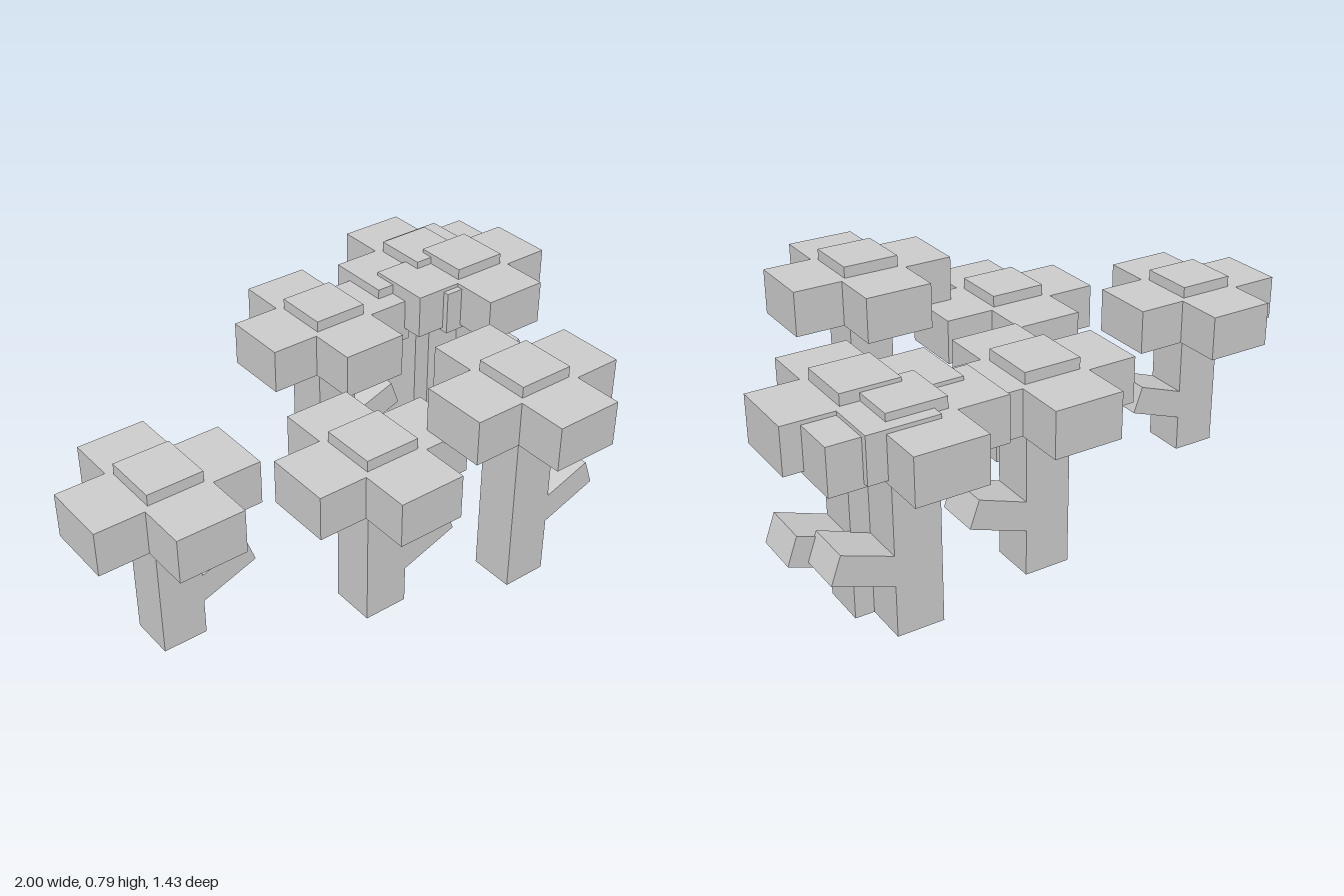
import * as THREE from 'three';

const material = new THREE.MeshStandardMaterial({ color: 0xcccccc, flatShading: true });

function part(name, geometry, x, y, z) {
  const mesh = new THREE.Mesh(geometry, material);
  mesh.name = name;
  mesh.position.set(x, y, z);
  return mesh;
}

// Plus-shaped slab of leaves, lying flat with its underside at y = 0
function crossGeometry(reach, half, height) {
  const r = reach, h = half;
  const outline = [
    [h, r], [-h, r], [-h, h], [-r, h], [-r, -h], [-h, -h],
    [-h, -r], [h, -r], [h, -h], [r, -h], [r, h], [h, h],
  ].map(([x, y]) => new THREE.Vector2(x, y));
  const geometry = new THREE.ExtrudeGeometry(new THREE.Shape(outline), { depth: height, bevelEnabled: false });
  return geometry.rotateX(-Math.PI / 2);
}

const TRUNK = 0.153, LEAF = 0.153, CAP = 0.038;
const BRANCH_LENGTH = 0.25, BRANCH_TILT = THREE.MathUtils.degToRad(20);
const canopyGeometry = crossGeometry(0.2825, 0.115, LEAF);
const capGeometry = new THREE.BoxGeometry(0.192, CAP, 0.192);
const branchGeometry = new THREE.BoxGeometry(BRANCH_LENGTH, 0.096, TRUNK);

function makeTree(trunkHeight) {
  const tree = new THREE.Group();
  tree.name = 'tree';
  tree.add(part('trunk', new THREE.BoxGeometry(TRUNK, trunkHeight, TRUNK), 0, trunkHeight / 2, 0));

  // Side branch, rising from the trunk towards +x; taller trunks carry it higher
  const tipY = 0.243 + 0.43 * (trunkHeight - 0.44);
  const branch = part('branch', branchGeometry,
    0.257 - Math.cos(BRANCH_TILT) * BRANCH_LENGTH / 2,
    tipY - Math.sin(BRANCH_TILT) * BRANCH_LENGTH / 2, 0);
  branch.rotation.z = BRANCH_TILT;
  tree.add(branch);

  // Leaves
  tree.add(part('canopy', canopyGeometry, 0, trunkHeight, 0));
  tree.add(part('canopyCap', capGeometry, 0, trunkHeight + LEAF + CAP / 2, 0));
  return tree;
}

export function createModel() {
  const grove = new THREE.Group();
  grove.name = 'grove';

  // x, z, trunk height
  const trees = [
    [-0.718, 0.015, 0.441],
    [-0.127, 0.278, 0.45],
    [0.337, 0.43, 0.602],
    [0.17, -0.368, 0.511],
    [0.653, -0.436, 0.545],
    [0.715, -0.29, 0.558],
  ];
  for (const [x, z, height] of trees) {
    const tree = makeTree(height);
    tree.position.set(x, 0, z);
    grove.add(tree);
  }
  return grove;
}
